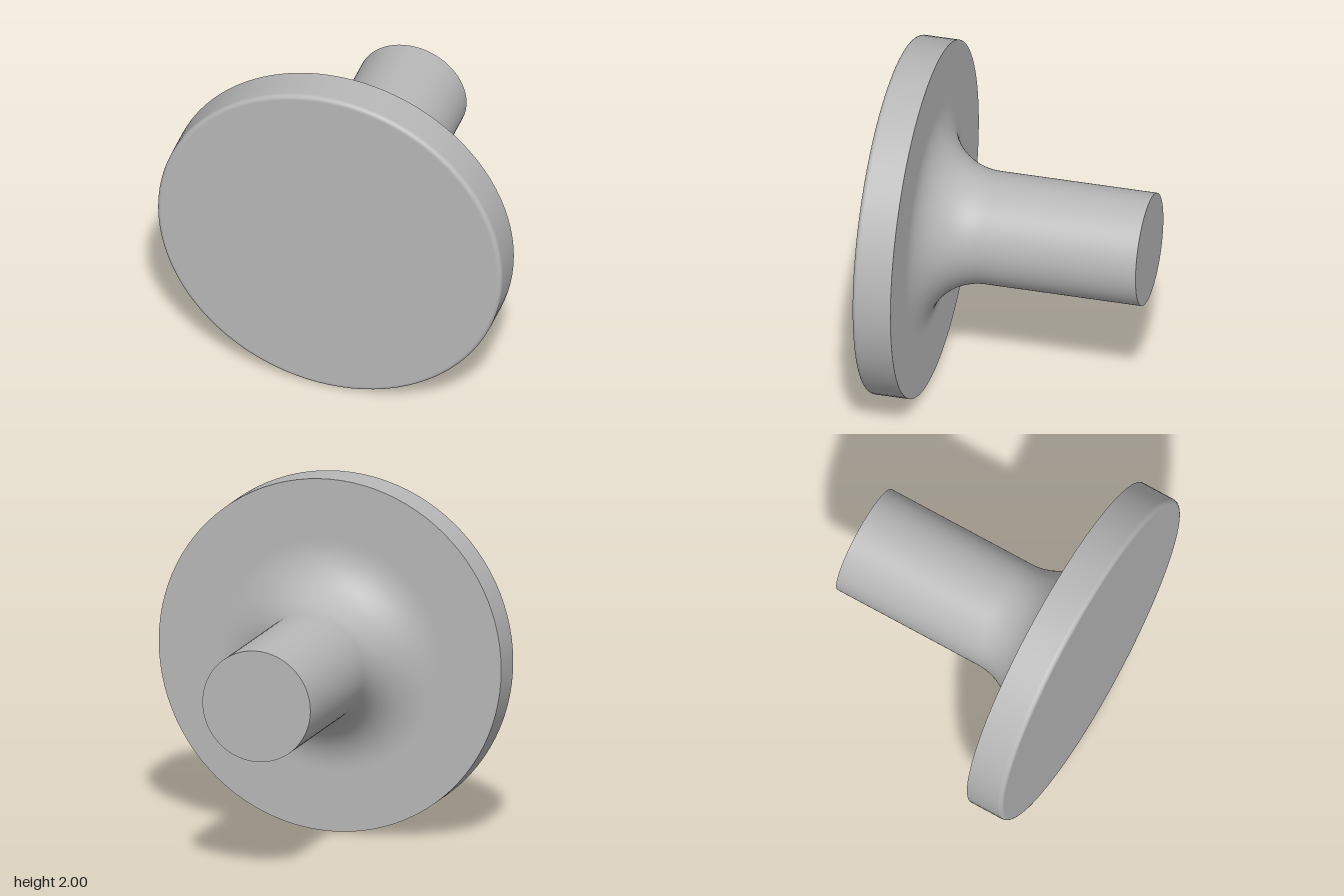
import * as THREE from 'three';

const SIDES = 96;
const STEM_R = 0.315, FILLET = 0.33, DISC_R = 1, ROUND = 0.025;
const BACK = -0.72, SEAT = 0.5, FRONT = 0.72;

// points [radius, z] along an arc
function arc(cr, cz, r, from, to, steps) {
  return Array.from({ length: steps + 1 }, (_, i) => {
    const a = from + (to - from) * i / steps;
    return [cr + r * Math.cos(a), cz + r * Math.sin(a)];
  });
}

export function createModel() {
  const group = new THREE.Group();
  const grey = new THREE.MeshStandardMaterial({ color: 0xb8b8b8 });
  grey.name = 'grey';

  // turn a profile of [radius, z] about the z axis, back to front
  function turned(name, profile) {
    const points = profile.map(([r, z]) => new THREE.Vector2(r, z));
    const geometry = new THREE.LatheGeometry(points, SIDES).rotateX(Math.PI / 2);
    const mesh = new THREE.Mesh(geometry, grey);
    mesh.name = name;
    mesh.position.y = 1;
    group.add(mesh);
  }

  // flat end of the stem
  turned('stemEnd', [[0, BACK], [STEM_R, BACK]]);

  // stem flaring through a fillet into the back face of the disc
  turned('stemAndDiscBack', [
    [STEM_R, BACK], [STEM_R, SEAT - FILLET - 0.02],
    ...arc(STEM_R + FILLET, SEAT - FILLET, FILLET, Math.PI, Math.PI / 2, 20),
    [STEM_R + FILLET + 0.02, SEAT], [DISC_R, SEAT],
  ]);

  // rim with a rounded front edge, and the front face
  turned('discRimAndFront', [
    [DISC_R, SEAT], [DISC_R, FRONT - ROUND - 0.005],
    ...arc(DISC_R - ROUND, FRONT - ROUND, ROUND, 0, Math.PI / 2, 8),
    [DISC_R - ROUND - 0.005, FRONT], [0, FRONT],
  ]);

  return group;
}
